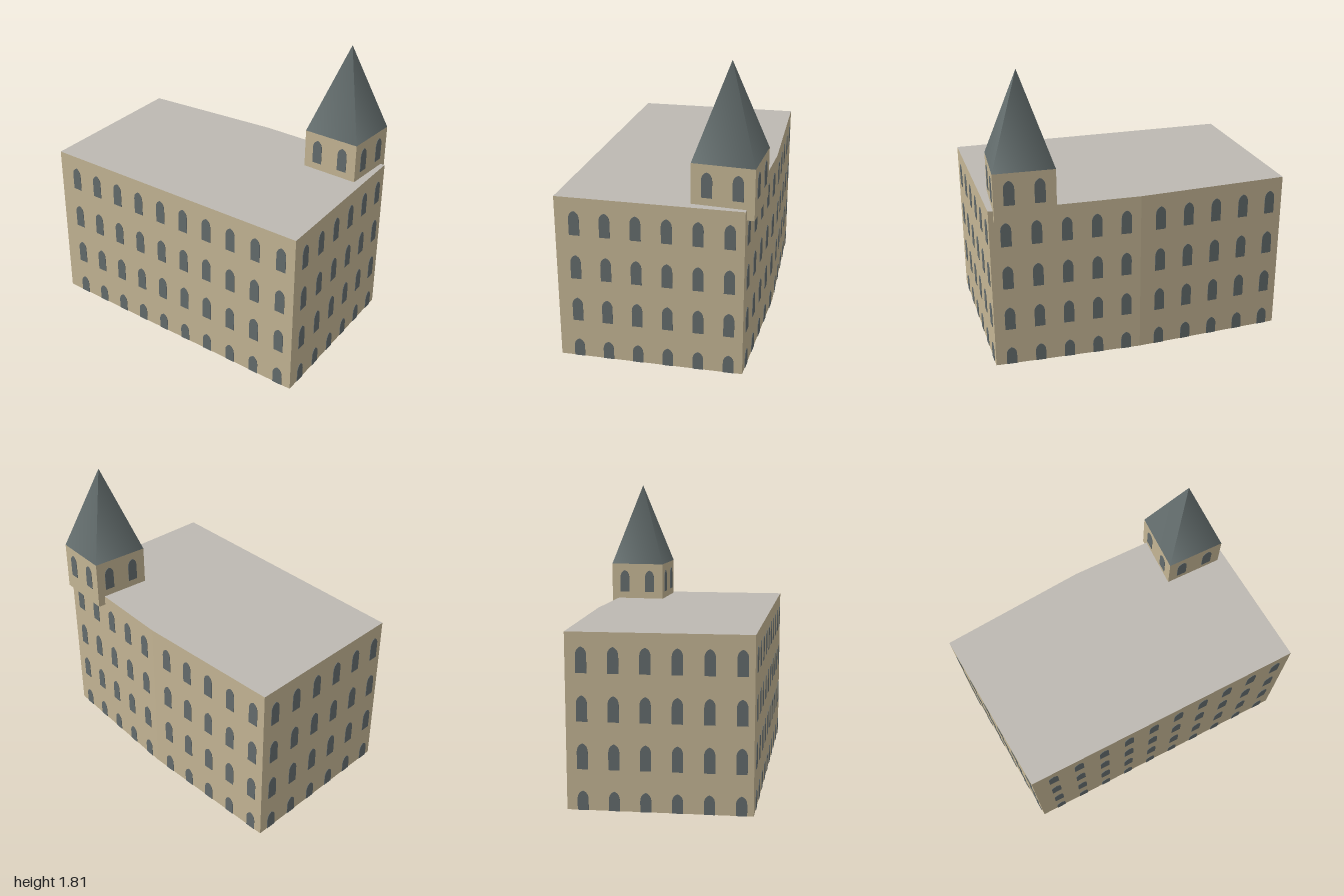
import * as THREE from 'three';

const mat = (name, color, side = THREE.FrontSide) => {
  const m = new THREE.MeshStandardMaterial({ color, side });
  m.name = name;
  return m;
};

// Pointed-arch window plate straddling the wall plane, so it shows inside and out
function windowGeometry(w, h) {
  const s = new THREE.Shape();
  const shoulder = h - 0.05;
  s.moveTo(-w / 2, 0);
  s.lineTo(w / 2, 0);
  s.lineTo(w / 2, shoulder);
  s.quadraticCurveTo(w / 2, h - 0.012, 0, h);
  s.quadraticCurveTo(-w / 2, h - 0.012, -w / 2, shoulder);
  const g = new THREE.ExtrudeGeometry(s, { depth: 0.006, bevelEnabled: false, curveSegments: 5 });
  return g.translate(0, 0, -0.003);
}

export function createModel() {
  const model = new THREE.Group();
  const stone = mat('stone', 0xc4b594, THREE.DoubleSide);
  const slate = mat('slate', 0x667070, THREE.DoubleSide);
  const glass = mat('window grey', 0x646c6d);
  const roofing = mat('roof grey', 0xbdb9b2, THREE.DoubleSide);

  const fullWindow = windowGeometry(0.063, 0.15);
  const groundWindow = windowGeometry(0.063, 0.114);

  // Wall from a to b ([x, z], left to right seen from outside);
  // columns are fractions along the wall, rows are [sill height, geometry]
  function wall(name, a, b, y0, y1, columns, rows) {
    const dx = b[0] - a[0], dz = b[1] - a[1], length = Math.hypot(dx, dz);
    const group = new THREE.Group();
    group.name = name;
    group.position.set(a[0], 0, a[1]);
    group.rotation.y = Math.atan2(-dz, dx);
    const panel = new THREE.Mesh(new THREE.PlaneGeometry(length, y1 - y0), stone);
    panel.name = name + 'Panel';
    panel.position.set(length / 2, (y0 + y1) / 2, 0);
    group.add(panel);
    for (const [sill, geometry] of rows) {
      for (const u of columns) {
        const pane = new THREE.Mesh(geometry, glass);
        pane.name = 'archedWindow';
        pane.position.set(u * length, sill, 0);
        group.add(pane);
      }
    }
    model.add(group);
  }

  const columns = (count, first, last) =>
    Array.from({ length: count }, (_, i) => first + (last - first) * i / (count - 1));

  // Main block: five walls, four storeys, open underneath
  const height = 1.025;
  const plan = [[-0.44, 1], [0.635, 0.805], [0.535, -0.09], [0.355, -1], [-0.68, -0.79]];
  const storeys = [[0, groundWindow], [0.24, fullWindow], [0.516, fullWindow], [0.793, fullWindow]];
  const walls = [
    ['frontWall', columns(6, 0.104, 0.925)],
    ['leftFrontWall', columns(5, 0.107, 0.902)],
    ['leftBackWall', columns(5, 0.135, 0.912)],
    ['backWall', columns(6, 0.087, 0.936)],
    ['rightWall', columns(10, 0.075, 0.95)],
  ];
  walls.forEach(([name, cols], i) =>
    wall(name, plan[i], plan[(i + 1) % plan.length], 0, height, cols, storeys));

  // Flat roof
  const outline = new THREE.Shape(plan.map(([x, z]) => new THREE.Vector2(x, -z)));
  const roof = new THREE.Mesh(new THREE.ShapeGeometry(outline).rotateX(-Math.PI / 2), roofing);
  roof.name = 'flatRoof';
  roof.position.y = height;
  model.add(roof);

  // Corner turret: square, turned slightly and overhanging the main walls
  const cx = 0.477, cz = 0.611, radius = 0.255, turn = 0.89;
  const base = 0.965, eaves = 1.265, apex = 1.805;
  const corner = (i) => {
    const t = turn + i * Math.PI / 2;
    return [cx + radius * Math.sin(t), cz + radius * Math.cos(t)];
  };
  ['turretLeftWall', 'turretBackWall', 'turretRightWall', 'turretFrontWall'].forEach((name, i) =>
    wall(name, corner(i), corner(i + 1), base, eaves, [0.25, 0.74], [[1.07, fullWindow]]));

  // Spire
  const spire = new THREE.Mesh(new THREE.ConeGeometry(radius, apex - eaves, 4, 1, true), slate);
  spire.name = 'spire';
  spire.position.set(cx, (eaves + apex) / 2, cz);
  spire.rotation.y = turn;
  model.add(spire);

  return model;
}
